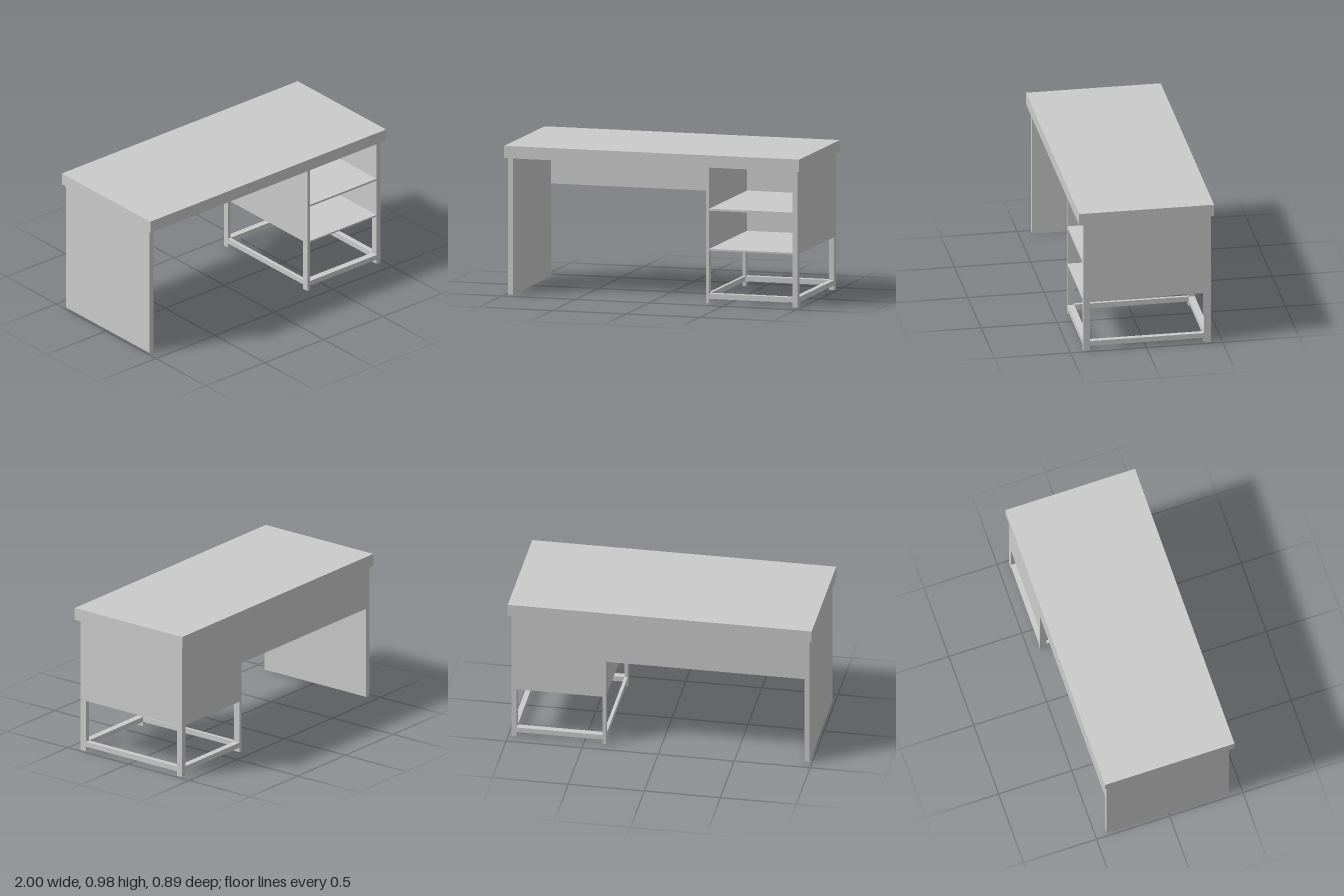
import * as THREE from 'three';

export function createModel() {
  const desk = new THREE.Group();
  desk.name = 'desk';
  const material = new THREE.MeshStandardMaterial({ color: 0xcccccc, flatShading: true });

  // Box given by its extents along each axis
  function slab(name, [x0, x1], [y0, y1], [z0, z1], parent = desk) {
    const mesh = new THREE.Mesh(new THREE.BoxGeometry(x1 - x0, y1 - y0, z1 - z0), material);
    mesh.position.set((x0 + x1) / 2, (y0 + y1) / 2, (z0 + z1) / 2);
    mesh.name = name;
    parent.add(mesh);
  }

  const underTop = 0.895, back = -0.425, front = 0.412;
  const legBack = [back, -0.382], legFront = [0.367, front];
  const between = [legBack[1], legFront[0]];
  const inner = [0.358, 0.38], outer = [0.945, 0.98];
  const bay = [inner[1], outer[0]];
  const panelBottom = 0.347, railY = [0.031, 0.065];

  // Desktop, end panel and rear modesty panel
  slab('desktop', [-1, 1], [underTop, 0.975], [-0.443, 0.443]);
  slab('endPanel', [-0.982, -0.948], [0, underTop], [back, front]);
  slab('modestyPanel', [-0.948, inner[0]], [0.608, underTop], [back, back + 0.015]);

  // Open shelf unit
  const unit = new THREE.Group();
  unit.name = 'shelfUnit';
  desk.add(unit);

  // Sides: full-height legs with a panel above and a low rail between them
  for (const [side, x] of [['inner', inner], ['outer', outer]]) {
    slab(side + 'BackLeg', x, [0, underTop], legBack, unit);
    slab(side + 'FrontLeg', x, [0, underTop], legFront, unit);
    slab(side + 'SidePanel', x, [panelBottom, underTop], between, unit);
    slab(side + 'SideRail', x, railY, between, unit);
  }

  // Back panel, shelves and cross rails
  slab('unitBackPanel', bay, [panelBottom, underTop], [back, back + 0.015], unit);
  slab('lowerShelf', bay, [panelBottom, 0.358], [back + 0.015, front], unit);
  slab('upperShelf', bay, [0.608, 0.621], [back + 0.015, front], unit);
  slab('frontRail', bay, railY, legFront, unit);
  slab('backRail', bay, railY, legBack, unit);

  return desk;
}
